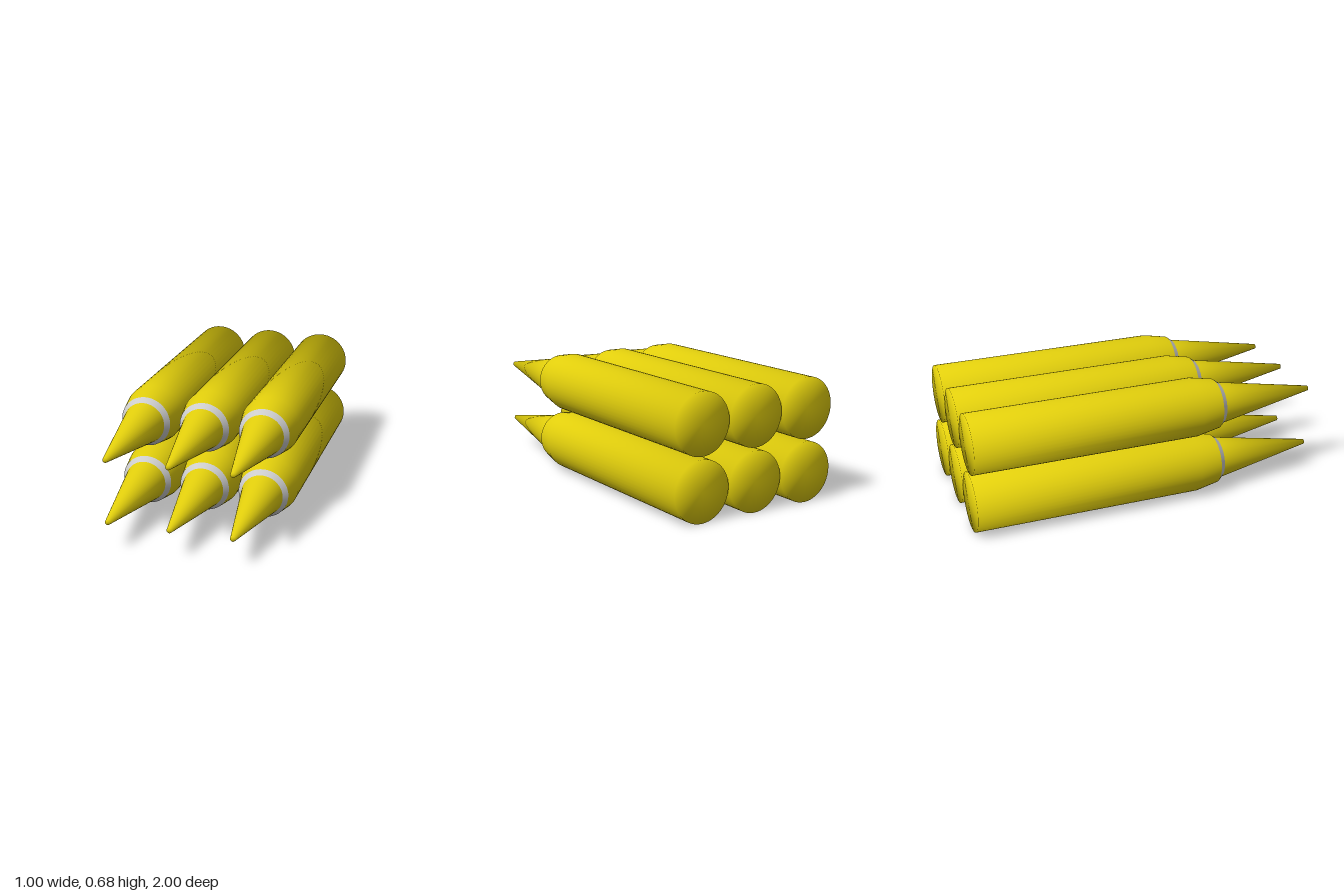
import * as THREE from 'three';

const yellow = new THREE.MeshStandardMaterial({ color: 0xe2cf0c });
const grey = new THREE.MeshStandardMaterial({ color: 0xcccccc });

// Turned part along z from [radius, z] pairs running back to front,
// with evenly averaged normals so the shading rolls softly over the edges
function turned(name, profile, material) {
  const points = profile.map(([r, z]) => new THREE.Vector2(r, z));
  const geometry = new THREE.LatheGeometry(points, 48);
  const slopes = points.slice(1).map((p, i) => {
    const d = p.clone().sub(points[i]).normalize();
    return new THREE.Vector2(d.y, -d.x);
  });
  const normals = points.map((p, j) => {
    if (p.x === 0) return new THREE.Vector2(0, j === 0 ? -1 : 1);
    const n = new THREE.Vector2();
    if (j > 0) n.add(slopes[j - 1]);
    if (j < slopes.length) n.add(slopes[j]);
    return n.normalize();
  });
  const attribute = geometry.attributes.normal;
  for (let k = 0; k < attribute.count; k++) {
    const n = normals[k % points.length];
    const a = Math.floor(k / points.length) / 48 * Math.PI * 2;
    attribute.setXYZ(k, n.x * Math.sin(a), n.y, n.x * Math.cos(a));
  }
  geometry.rotateX(Math.PI / 2);
  const mesh = new THREE.Mesh(geometry, material);
  mesh.name = name;
  return mesh;
}

function createRound() {
  const round = new THREE.Group();
  round.name = 'round';
  round.add(
    // straight case with a flat base and tapered shoulder
    turned('case', [[0, -1], [0.165, -1], [0.165, 0.28], [0.14, 0.41]], yellow),
    // bevelled collar
    turned('collar', [[0.14, 0.41], [0.116, 0.44]], grey),
    // long pointed nose with a small blunt tip
    turned('nose', [[0.116, 0.44], [0.014, 1], [0, 1]], yellow),
  );
  return round;
}

export function createModel() {
  const model = new THREE.Group();
  model.name = 'stackedRounds';
  // two rows of three
  for (const y of [0.1675, 0.5125]) {
    for (const x of [-0.335, 0, 0.335]) {
      const round = createRound();
      round.position.set(x, y, 0);
      model.add(round);
    }
  }
  return model;
}
